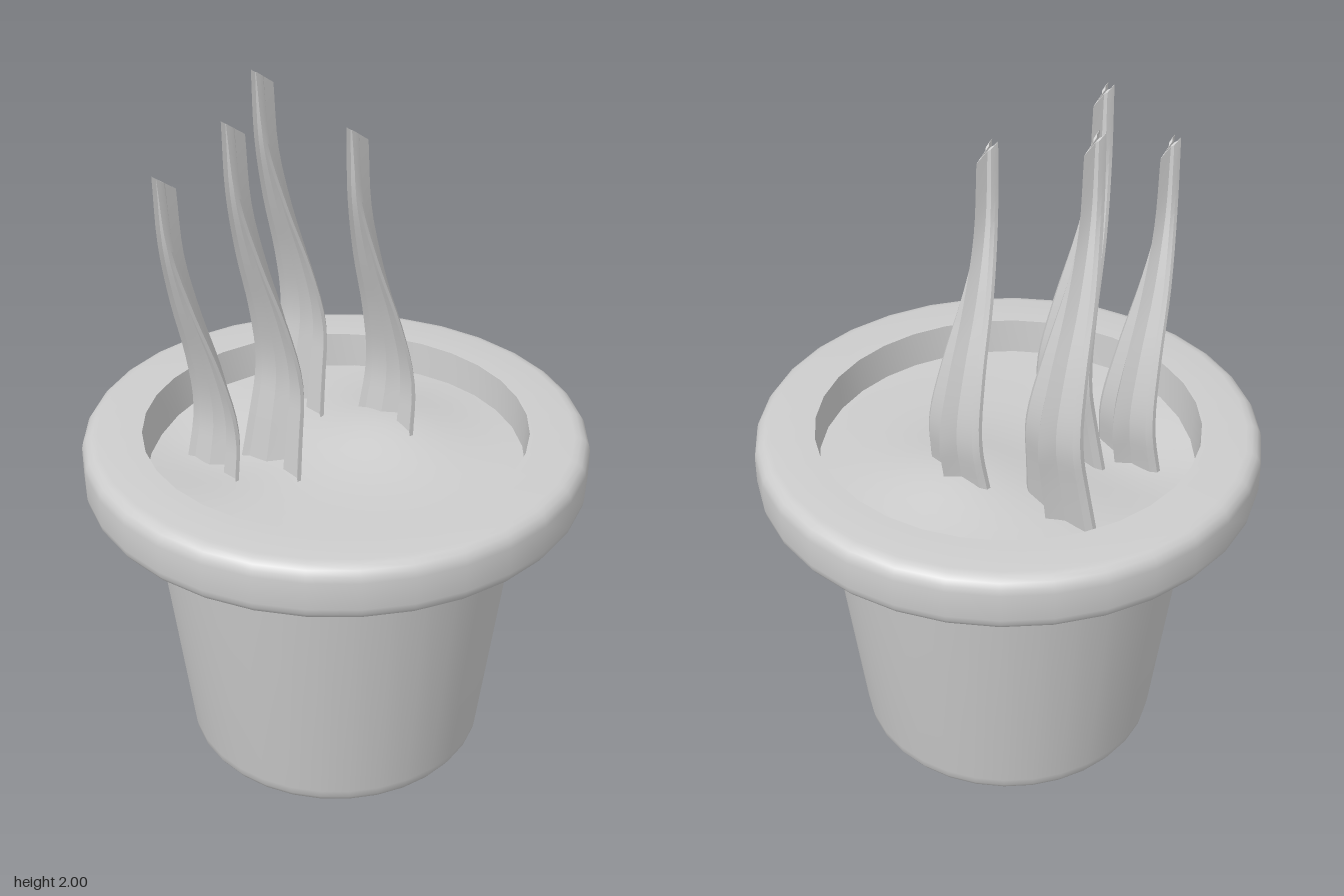
import * as THREE from 'three';
import { toCreasedNormals, mergeVertices } from 'three/addons/utils/BufferGeometryUtils.js';

const clay = new THREE.MeshStandardMaterial({ color: 0xcccccc });
clay.name = 'plain grey';

// Quarter-round corner points for a lathe profile
function corner(cx, cy, r, from, steps = 4) {
  return Array.from({ length: steps + 1 }, (_, i) => {
    const a = from + (i / steps) * Math.PI / 2;
    return [cx + r * Math.cos(a), cy + r * Math.sin(a)];
  });
}

function lathe(name, profile) {
  const points = profile.map(([x, y]) => new THREE.Vector2(x, y));
  const mesh = new THREE.Mesh(toCreasedNormals(new THREE.LatheGeometry(points, 32), 0.6), clay);
  mesh.name = name;
  return mesh;
}

// Gently uneven soil disc
function makeSoil() {
  let geo = new THREE.RingGeometry(0, 0.537, 32, 10).rotateX(-Math.PI / 2);
  const p = geo.attributes.position;
  const bump = (x, z, cx, cz, h) => h * Math.exp(-((x - cx) ** 2 + (z - cz) ** 2) / 0.05);
  for (let i = 0; i < p.count; i++) {
    const x = p.getX(i), z = p.getZ(i);
    p.setY(i, 0.93 + bump(x, z, 0, -0.2, 0.05) + bump(x, z, -0.28, 0.25, -0.045));
  }
  geo.deleteAttribute('uv');
  geo.deleteAttribute('normal');
  geo = mergeVertices(geo);
  geo.computeVertexNormals();
  const mesh = new THREE.Mesh(geo, clay);
  mesh.name = 'soil';
  return mesh;
}

// Leaf edges from the tip downwards: [depth below tip, left x, right x, z]
const EDGES = [
  [0, -0.01, 0.012, 0], [0.2, -0.03, 0.015, -0.02], [0.4, -0.073, 0.027, -0.076],
  [0.6, -0.108, 0.048, -0.14], [0.78, -0.128, 0.073, -0.172],
  [0.96, -0.139, 0.095, -0.149], [1.355, -0.178, 0.14, -0.09],
];
// Cross-section: flat wings and a folded ridge at the back [across, z]
const FRONT = [[-1, 0], [-0.85, -0.012], [-0.3, -0.018], [0, -0.053], [0.3, -0.018], [0.85, -0.012], [1, 0]];
const SECTION = [...FRONT, ...FRONT.map(([u, z]) => [u, z - 0.012]).reverse()];

function leafGeometry() {
  const edge = (k) => new THREE.CatmullRomCurve3(
    EDGES.map((e) => new THREE.Vector3(e[k], -e[0], e[3])), false, 'catmullrom');
  const left = edge(1), right = edge(2);
  const rows = 24, n = SECTION.length, pos = [], idx = [];
  for (let i = 0; i <= rows; i++) {
    const t = i / rows, a = left.getPoint(t), b = right.getPoint(t);
    for (const [u, z] of SECTION) {
      const v = a.clone().lerp(b, (u + 1) / 2);
      pos.push(v.x, v.y + 0.7 * z * (1 - t), v.z + z); // slanted cut at the tip
    }
  }
  for (let i = 0; i < rows; i++) {
    for (let j = 0; j < n; j++) {
      const a = i * n + j, b = i * n + (j + 1) % n;
      idx.push(a, a + n, b, b, a + n, b + n);
    }
  }
  // End caps
  const end = rows * n;
  for (let j = 0; j < FRONT.length - 1; j++) {
    const f0 = j, f1 = j + 1, b0 = n - 1 - j, b1 = n - 2 - j;
    idx.push(f0, f1, b1, f0, b1, b0);
    idx.push(end + f0, end + b1, end + f1, end + f0, end + b0, end + b1);
  }
  const geo = new THREE.BufferGeometry();
  geo.setAttribute('position', new THREE.Float32BufferAttribute(pos, 3));
  geo.setIndex(idx);
  return toCreasedNormals(geo, 0.3);
}

export function createModel() {
  const model = new THREE.Group();
  model.name = 'pottedPlant';

  // Tapered pot with a rounded foot
  model.add(lathe('pot', [[0, 0], ...corner(0.378, 0.06, 0.06, -Math.PI / 2), [0.54, 0.88]]));

  // Thick rounded rim with its inner wall
  model.add(lathe('rim', [
    [0.53, 0.868], ...corner(0.668, 0.912, 0.044, -Math.PI / 2),
    ...corner(0.668, 0.992, 0.044, 0), [0.543, 1.036], [0.532, 0.88],
  ]));

  model.add(makeSoil());

  // Leaves placed by their tips
  const geo = leafGeometry();
  const leaves = new THREE.Group();
  leaves.name = 'leaves';
  const tips = [[-0.185, 1.83, 0.44], [-0.065, 1.98, 0.305], [-0.28, 2, 0.053], [0.01, 1.905, -0.035]];
  tips.forEach(([x, y, z], i) => {
    const leaf = new THREE.Mesh(geo, clay);
    leaf.name = 'leaf' + (i + 1);
    leaf.position.set(x, y, z);
    leaves.add(leaf);
  });
  model.add(leaves);
  return model;
}
